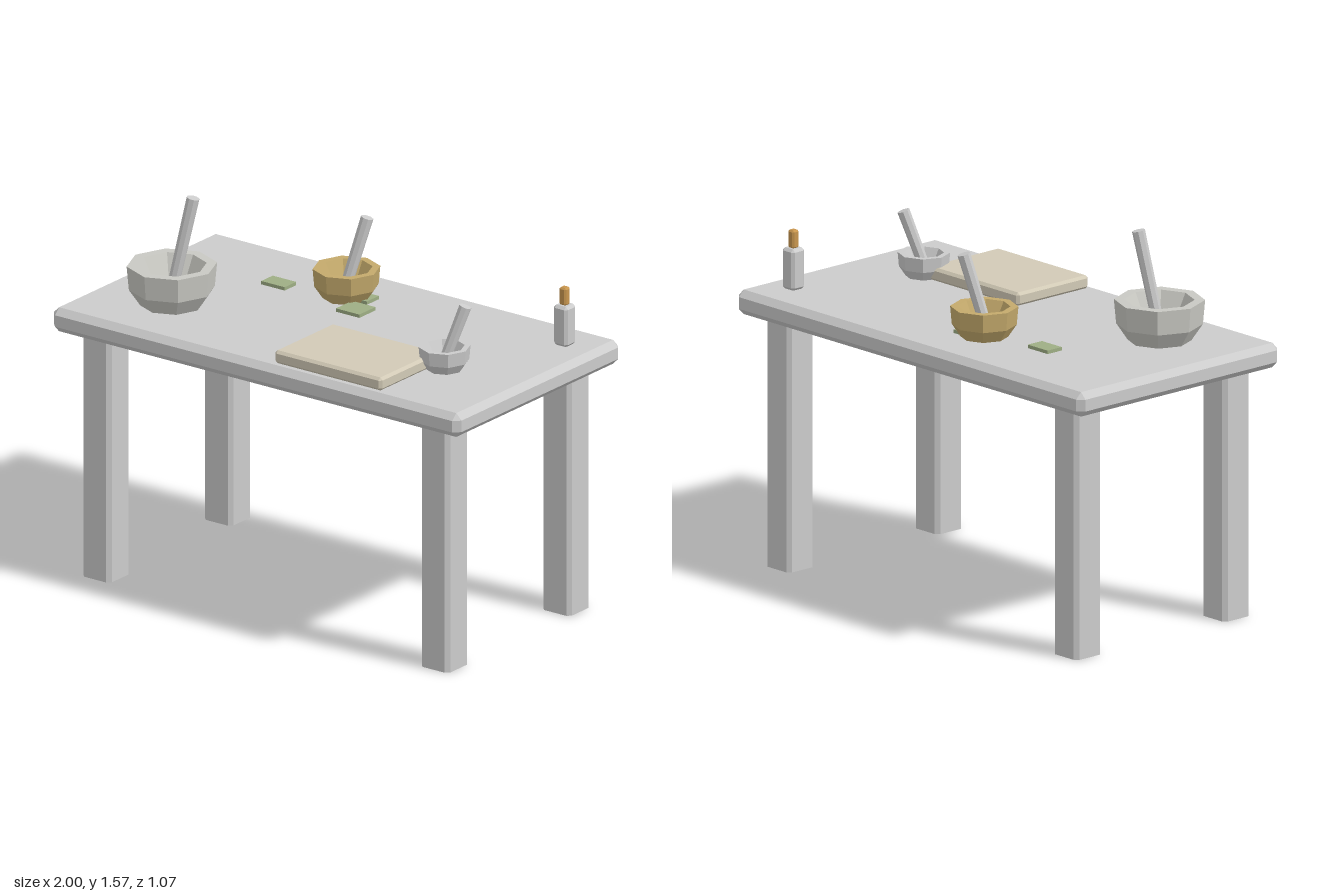
import * as THREE from 'three';
import { ConvexGeometry } from 'three/addons/geometries/ConvexGeometry.js';

const TOP = 1.12; // height of the table surface

const paint = (color) => new THREE.MeshStandardMaterial({ color, flatShading: true });

// Box with chamfered edges; with capped = false only the upright edges are cut.
function chamferBox(w, h, d, c, capped = true) {
  const points = [];
  for (const sx of [-1, 1]) for (const sy of [-1, 1]) for (const sz of [-1, 1]) {
    const x = w / 2, y = h / 2, z = d / 2, cy = capped ? c : 0;
    points.push(new THREE.Vector3(sx * x, sy * (y - cy), sz * (z - c)));
    points.push(new THREE.Vector3(sx * (x - c), sy * (y - cy), sz * z));
    if (capped) points.push(new THREE.Vector3(sx * (x - c), sy * y, sz * (z - c)));
  }
  return new ConvexGeometry(points);
}

export function createModel() {
  const model = new THREE.Group();
  model.name = 'workTable';
  const grey = paint(0xcccccc);
  const green = paint(0x9eae84);

  const add = (name, geometry, material, x, y, z, parent = model) => {
    const mesh = new THREE.Mesh(geometry, material);
    mesh.name = name;
    mesh.position.set(x, y, z);
    parent.add(mesh);
    return mesh;
  };

  // Table
  add('tableTop', chamferBox(2, 0.1, 1.07, 0.026), grey, 0, 1.07, 0);
  const legGeometry = chamferBox(0.14, 1.03, 0.14, 0.016, false);
  for (const sx of [-1, 1]) for (const sz of [-1, 1]) {
    add((sz > 0 ? 'front' : 'back') + (sx > 0 ? 'Left' : 'Right') + 'Leg',
      legGeometry, grey, sx * 0.83, 0.515, sz * 0.395);
  }

  // Octagonal bowl profile for a rim radius of 1
  const bowlProfile = [[0, 0], [0.7, 0], [0.95, 0.37], [1, 0.92], [0.77, 0.92], [0.4, 0.22], [0, 0.22]]
    .map(([r, y]) => new THREE.Vector2(r, y));
  const bowlGeometry = new THREE.LatheGeometry(bowlProfile, 8);

  // Mortars, each with a pestle leaning from its floor to the given tip
  const mortar = (name, color, x, z, radius, foot, tip, thickness) => {
    const group = new THREE.Group();
    group.name = name;
    model.add(group);
    add('bowl', bowlGeometry, paint(color), x, TOP, z, group).scale.setScalar(radius);
    const a = new THREE.Vector3(...foot), b = new THREE.Vector3(...tip);
    const axis = b.clone().sub(a);
    const middle = a.clone().add(b).multiplyScalar(0.5);
    const pestle = add('pestle', new THREE.CylinderGeometry(thickness, thickness * 0.9, axis.length(), 8),
      grey, middle.x, middle.y, middle.z, group);
    pestle.quaternion.setFromUnitVectors(new THREE.Vector3(0, 1, 0), axis.normalize());
  };
  mortar('largeMortar', 0xc9c9c3, -0.645, 0.212, 0.179, [-0.653, 1.155, 0.207], [-0.58, 1.562, 0.16], 0.026);
  mortar('ochreMortar', 0xc4aa6c, -0.145, -0.26, 0.134, [-0.148, 1.14, -0.246], [-0.081, 1.452, -0.31], 0.026);
  mortar('smallMortar', 0xcccccc, 0.64, 0.142, 0.103, [0.637, 1.135, 0.152], [0.705, 1.38, 0.093], 0.025);

  // Cutting board
  add('board', chamferBox(0.525, 0.055, 0.38, 0.011), paint(0xd2cab6), 0.333, TOP + 0.026, 0.307);

  // Bottle with stopper
  const bottle = new THREE.Group();
  bottle.name = 'bottle';
  bottle.position.set(0.853, TOP, -0.356);
  model.add(bottle);
  add('bottleBody', chamferBox(0.068, 0.168, 0.068, 0.011), grey, 0, 0.084, 0, bottle);
  add('stopper', chamferBox(0.034, 0.075, 0.034, 0.007), paint(0xc8964e), 0, 0.203, 0, bottle);

  // Flat leaves, one of them partly beneath the ochre mortar
  const leaves = [[-0.438, -0.208, 0.115, 0.075], [-0.022, -0.157, 0.115, 0.105], [-0.086, -0.277, 0.115, 0.078]];
  for (const [x, z, w, d] of leaves) {
    add('leaf', new THREE.BoxGeometry(w, 0.014, d), green, x, TOP + 0.007, z);
  }

  return model;
}
